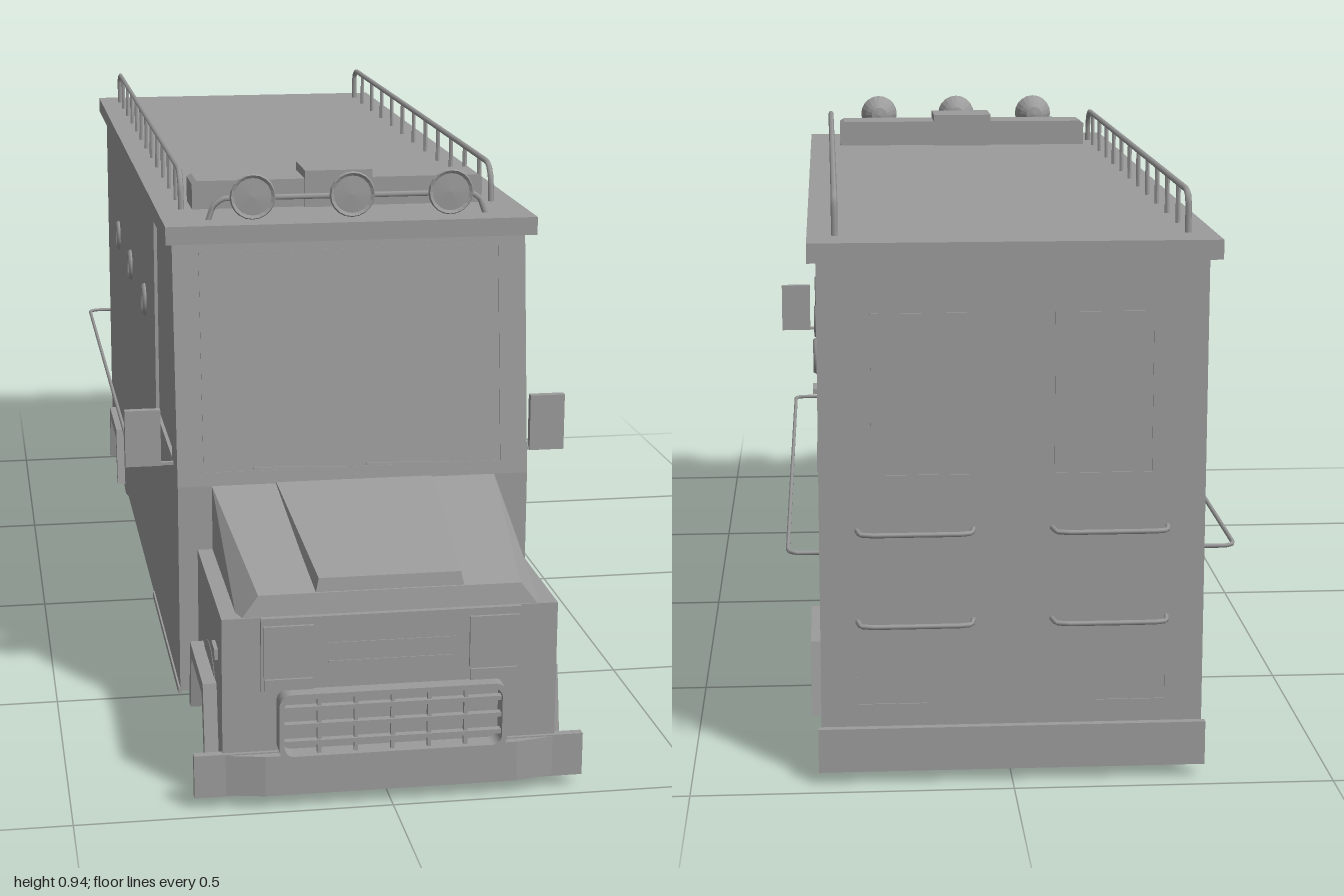
import * as THREE from 'three';
import { ConvexGeometry } from 'three/addons/geometries/ConvexGeometry.js';

const GREY = 0x9b9b9b;
const mat = new THREE.MeshStandardMaterial({ color: GREY, flatShading: true });
const smooth = new THREE.MeshStandardMaterial({ color: GREY });

export function createModel() {
  const root = new THREE.Group();
  root.name = 'stepVan';

  const add = (name, geo, x = 0, y = 0, z = 0, m = mat) => {
    const mesh = new THREE.Mesh(geo, m);
    mesh.name = name;
    mesh.position.set(x, y, z);
    root.add(mesh);
    return mesh;
  };
  const box = (name, w, h, d, x, y, z) => add(name, new THREE.BoxGeometry(w, h, d), x, y, z);
  const toPath = (pts) => pts.map(([a, b]) => new THREE.Vector2(a, b));
  // side profile given as [z, y], extruded across x and centred on cx
  const profile = (name, pts, width, cx = 0, hole) => {
    const shape = new THREE.Shape(toPath(pts));
    if (hole) shape.holes.push(new THREE.Path(toPath(hole)));
    const geo = new THREE.ExtrudeGeometry(shape, { depth: width, bevelEnabled: false });
    geo.rotateY(-Math.PI / 2).translate(width / 2, 0, 0);
    return add(name, geo, cx);
  };
  const tube = (name, pts, r, segments = 48) => {
    const curve = new THREE.CatmullRomCurve3(pts.map((p) => new THREE.Vector3(...p)), false, 'catmullrom', 0.06);
    return add(name, new THREE.TubeGeometry(curve, segments, r, 6), 0, 0, 0, smooth);
  };
  const hull = (name, pts) => add(name, new ConvexGeometry(pts.map((p) => new THREE.Vector3(...p))));
  // wheel arch notch, walked from rear to front
  const arch = (z) => [[z - 0.1, 0.06], [z - 0.08, 0.155], [z + 0.08, 0.155], [z + 0.1, 0.06]];
  const FRONT = 0.8, REAR = -0.7;

  // cargo body and cab, with the side windows set back in their openings
  profile('body', [[-0.955, 0.06], ...arch(REAR), [0.63, 0.06], [0.63, 0.42], [0.577, 0.83], [-0.955, 0.83]], 0.594, 0,
    [[0.537, 0.445], [0.488, 0.805], [0.238, 0.805], [0.238, 0.445]]);
  profile('sideWindows', [[0.54, 0.44], [0.49, 0.81], [0.23, 0.81], [0.23, 0.44]], 0.582);
  box('roof', 0.62, 0.03, 1.61, 0, 0.84, -0.195);

  // nose with fenders, bonnet and raised bonnet panel
  profile('fenders', [[0.62, 0.06], ...arch(FRONT), [0.955, 0.06], [0.968, 0.09], [0.968, 0.31], [0.62, 0.31]], 0.53);
  const bonnet = [], panel = [];
  for (const s of [-1, 1]) {
    bonnet.push([s * 0.24, 0.3, 0.62], [s * 0.24, 0.42, 0.63], [s * 0.24, 0.3, 0.967], [s * 0.207, 0.343, 0.96]);
    panel.push([s * 0.145, 0.38, 0.63], [s * 0.132, 0.422, 0.63], [s * 0.12, 0.33, 0.96], [s * 0.112, 0.365, 0.955]);
  }
  hull('bonnet', bonnet);
  hull('bonnetPanel', panel);
  box('nosePanel', 0.41, 0.12, 0.012, 0, 0.25, 0.969);
  for (const y of [0.235, 0.265]) box('noseLouvre', 0.2, 0.003, 0.004, 0, y, 0.9745);

  // grille
  const rounded = (w, h, r) => {
    const s = new THREE.Shape();
    s.absarc(w - r, h - r, r, 0, Math.PI / 2);
    s.absarc(r - w, h - r, r, Math.PI / 2, Math.PI);
    s.absarc(r - w, r - h, r, Math.PI, Math.PI * 1.5);
    s.absarc(w - r, r - h, r, Math.PI * 1.5, Math.PI * 2);
    return s;
  };
  const surround = rounded(0.18, 0.055, 0.02);
  surround.holes.push(rounded(0.172, 0.047, 0.015));
  add('grilleSurround', new THREE.ExtrudeGeometry(surround, { depth: 0.035, bevelEnabled: false, curveSegments: 5 }), 0, 0.138, 0.965);
  for (const y of [0.11, 0.138, 0.166]) box('grilleBar', 0.345, 0.007, 0.012, 0, y, 0.987);
  for (let i = -2; i <= 2; i++) box('grilleUpright', 0.006, 0.094, 0.008, i * 0.058, 0.138, 0.986);

  // bumpers
  box('frontBumper', 0.62, 0.07, 0.014, 0, 0.055, 0.967);
  hull('frontBumperFace', [-1, 1].flatMap((s) => [0.022, 0.088].flatMap((y) => [[s * 0.27, y, 0.972], [s * 0.2, y, 0.987]])));
  box('rearBumper', 0.604, 0.07, 0.012, 0, 0.055, -0.961);

  // windscreen trim and wipers, leaning back with the cab
  const screen = new THREE.Group();
  screen.name = 'windscreen';
  screen.position.set(0, 0.623, 0.604);
  screen.rotation.x = -0.129;
  root.add(screen);
  for (const s of [-1, 1]) {
    screen.add(box('windscreenSide', 0.003, 0.368, 0.004, s * 0.252, 0, 0));
    screen.add(box('windscreenEdge', 0.506, 0.003, 0.004, 0, s * 0.183, 0));
    const wiper = box('wiper', 0.15, 0.004, 0.005, s * 0.095, -0.179, 0.007);
    wiper.rotation.z = -0.03;
    const arm = box('wiperArm', 0.045, 0.003, 0.004, s * 0.095 + 0.09, -0.19, 0.008);
    arm.rotation.z = -0.45;
    screen.add(wiper, arm);
  }

  // wheel: square-shouldered tyre, shallow rim and hub turned about the axle
  const wheelGeo = new THREE.LatheGeometry(toPath([
    [0, -0.05], [0.106, -0.05], [0.106, 0.046], [0.102, 0.05], [0.064, 0.05],
    [0.06, 0.043], [0.034, 0.04], [0.03, 0.047], [0.016, 0.047], [0.014, 0.052], [0, 0.052],
  ]), 24).rotateZ(-Math.PI / 2);

  for (const s of [-1, 1]) {
    for (const [z, wheelX, flareX] of [[FRONT, 0.216, 0.272], [REAR, 0.238, 0.298]]) {
      const wheel = add('wheel', wheelGeo, s * wheelX, 0.106, z);
      if (s < 0) wheel.rotation.y = Math.PI;
      for (let i = 0; i < 6; i++) {
        const a = (i * Math.PI) / 3;
        box('wheelNut', 0.008, 0.007, 0.007, s * (wheelX + 0.042), 0.106 + 0.045 * Math.sin(a), z + 0.045 * Math.cos(a));
      }
      // arch trim
      profile('wheelArch', [[z - 0.118, 0.06], [z - 0.095, 0.177], [z + 0.095, 0.177], [z + 0.118, 0.06],
        [z + 0.098, 0.06], [z + 0.078, 0.155], [z - 0.078, 0.155], [z - 0.098, 0.06]], 0.03, s * flareX);
    }
    // headlamp, indicator and side marker
    box('headlamp', 0.078, 0.082, 0.014, s * 0.162, 0.257, 0.973);
    box('indicator', 0.075, 0.018, 0.008, s * 0.162, 0.202, 0.975);
    box('sideMarker', 0.008, 0.018, 0.04, s * 0.267, 0.235, 0.9);

    // lower door edge and handle
    box('skirt', 0.006, 0.012, 0.49, s * 0.297, 0.06, 0.385);
    box('doorHandle', 0.014, 0.01, 0.06, s * 0.305, 0.368, 0.27);

    // mirror
    box('mirror', 0.06, 0.097, 0.014, s * 0.348, 0.487, 0.555);
    box('mirrorArm', 0.06, 0.005, 0.008, s * 0.318, 0.441, 0.555);

    // portholes
    for (const z of [0.036, -0.29, -0.61]) {
      const ring = add('porthole', new THREE.TorusGeometry(0.024, 0.007, 6, 20), s * 0.298, 0.61, z, smooth);
      ring.rotation.y = Math.PI / 2;
    }

    // side rub rail
    tube('sideRail', [[s * 0.29, 0.37, 0.185], [s * 0.335, 0.37, 0.185], [s * 0.345, 0.37, 0.165],
      [s * 0.345, 0.37, -0.925], [s * 0.333, 0.37, -0.95], [s * 0.29, 0.37, -0.95]], 0.0035, 90);

    // roof rail with posts
    tube('roofRail', [[s * 0.268, 0.85, 0.45], [s * 0.268, 0.89, 0.445], [s * 0.268, 0.918, 0.41],
      [s * 0.268, 0.918, -0.89], [s * 0.268, 0.9, -0.92], [s * 0.268, 0.85, -0.92]], 0.005, 90);
    for (let i = 0; i < 11; i++) {
      add('roofRailPost', new THREE.CylinderGeometry(0.004, 0.004, 0.065, 6), s * 0.268, 0.885, 0.355 - i * 0.117);
    }

    // rear doors: window trim, grab handles and latch strips
    for (const e of [-1, 1]) {
      box('rearWindowSide', 0.003, 0.25, 0.004, s * 0.14 + e * 0.075, 0.615, -0.955);
      box('rearWindowEdge', 0.153, 0.003, 0.004, s * 0.14, 0.615 + e * 0.125, -0.955);
    }
    for (const y of [0.405, 0.26]) {
      tube('rearHandle', [[s * 0.06, y, -0.95], [s * 0.065, y, -0.98], [s * 0.085, y, -0.986],
        [s * 0.215, y, -0.986], [s * 0.235, y, -0.98], [s * 0.24, y, -0.95]], 0.004, 36);
    }
    box('rearStrip', 0.11, 0.003, 0.004, s * 0.185, 0.125, -0.955);
    box('rearStripEnd', 0.003, 0.045, 0.004, s * 0.24, 0.147, -0.955);
  }

  // axles
  for (const z of [FRONT, REAR]) {
    add('axle', new THREE.CylinderGeometry(0.02, 0.02, 0.36, 10).rotateZ(Math.PI / 2), 0, 0.106, z);
  }

  // roof light bar
  hull('lightBar', [-1, 1].flatMap((s) => [0.37, 0.455].flatMap((z) =>
    [[s * 0.25, 0.855, z], [s * 0.25, 0.898, z], [s * 0.242, 0.903, z]])));
  box('lightBarCentre', 0.116, 0.063, 0.105, 0, 0.886, 0.41);

  // spotlights on their tube
  tube('spotlightBar', [[-0.235, 0.85, 0.553], [-0.225, 0.878, 0.553], [-0.205, 0.89, 0.553],
    [0.205, 0.89, 0.553], [0.225, 0.878, 0.553], [0.235, 0.85, 0.553]], 0.005, 50);
  const lampGeo = new THREE.LatheGeometry(toPath([
    [0, -0.04], [0.016, -0.037], [0.028, -0.025], [0.036, -0.006], [0.038, 0], [0.036, 0.004], [0.031, 0.001], [0, 0.003],
  ]), 20).rotateX(Math.PI / 2);
  for (const x of [-0.165, 0, 0.165]) add('spotlight', lampGeo, x, 0.899, 0.596);
  return root;
}
